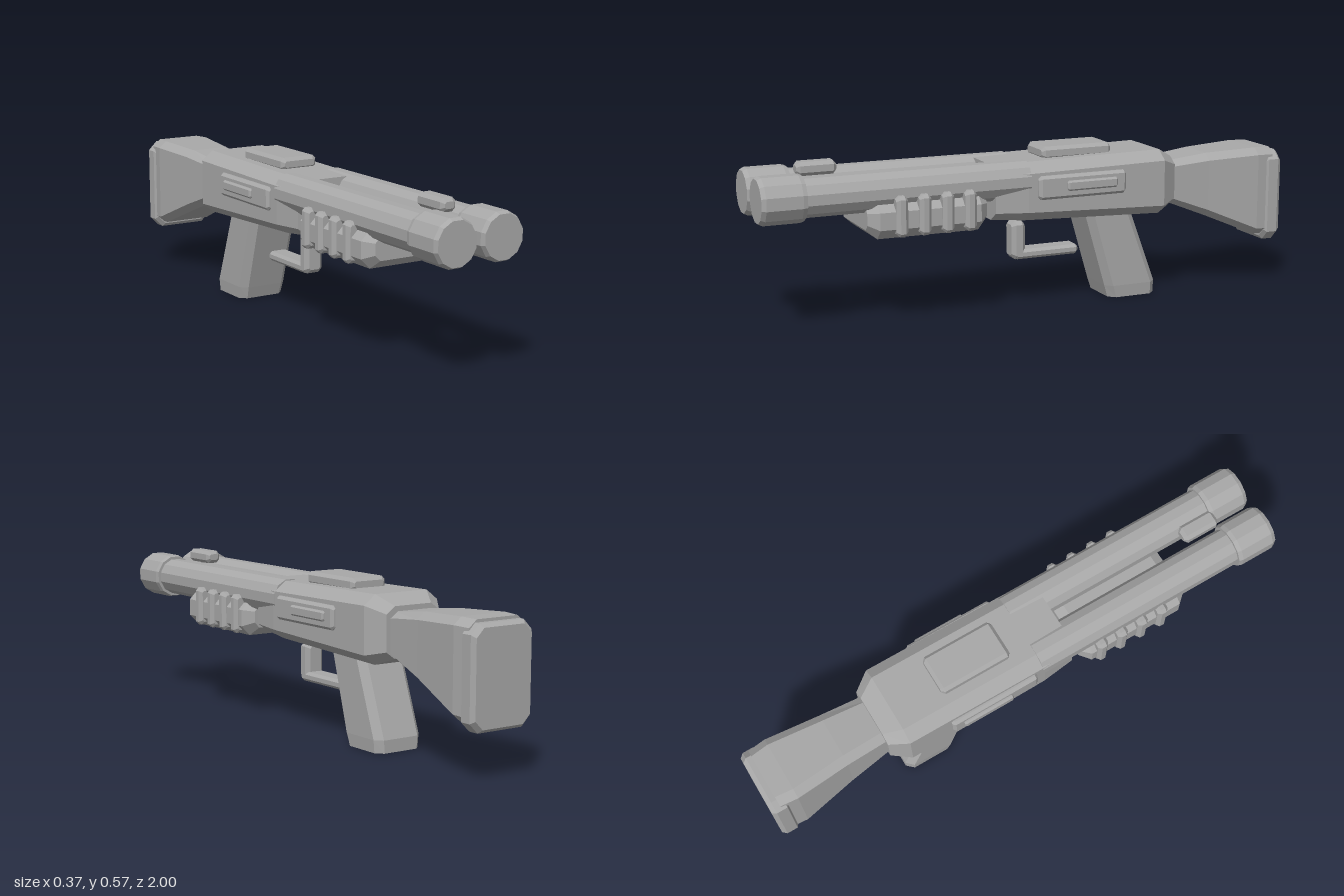
import * as THREE from 'three';

export function createModel() {
  const model = new THREE.Group();
  model.name = 'doubleBarrelGun';
  const grey = new THREE.MeshStandardMaterial({ color: 0xa8a8a8 });
  grey.name = 'grey';
  grey.flatShading = true;

  const add = (name, geometry) => {
    const mesh = new THREE.Mesh(geometry, grey);
    mesh.name = name;
    model.add(mesh);
    return mesh;
  };

  // Chamfered rectangles joined along z (or y when upright), capped at both ends.
  // Section: [station, halfWidth, low, high, chamferX, chamferLow, chamferHigh]
  function loft(sections, upright = false, cx = 0) {
    const rings = sections.map(([t, w, lo, hi, c, cl = c, ch = cl]) => [
      [-w + c, lo], [w - c, lo], [w, lo + cl], [w, hi - ch],
      [w - c, hi], [-w + c, hi], [-w, hi - ch], [-w, lo + cl],
    ].map(([x, v]) => (upright ? [cx + x, t, v] : [cx + x, v, t])));
    const pos = [];
    const tri = (a, b, c) => pos.push(...a, ...(upright ? c : b), ...(upright ? b : c));
    for (let s = 0; s + 1 < rings.length; s++) {
      const a = rings[s], b = rings[s + 1];
      for (let i = 0; i < 8; i++) {
        const j = (i + 1) % 8;
        tri(a[i], a[j], b[j]);
        tri(a[i], b[j], b[i]);
      }
    }
    const first = rings[0], last = rings[rings.length - 1];
    for (let i = 1; i < 7; i++) {
      tri(first[0], first[i + 1], first[i]);
      tri(last[0], last[i], last[i + 1]);
    }
    const g = new THREE.BufferGeometry();
    g.setAttribute('position', new THREE.Float32BufferAttribute(pos, 3));
    g.computeVertexNormals();
    return g;
  }

  // Box with every edge bevelled by b
  const bevelBox = (x0, x1, y0, y1, z0, z1, b) => {
    const w = (x1 - x0) / 2;
    return loft([
      [z0, w - b, y0 + b, y1 - b, b * 0.5], [z0 + b, w, y0, y1, b],
      [z1 - b, w, y0, y1, b], [z1, w - b, y0 + b, y1 - b, b * 0.5],
    ], false, (x0 + x1) / 2);
  };

  // Receiver
  add('receiver', loft([
    [-0.55, 0.11, 0.33, 0.505, 0.035, 0.025],
    [-0.485, 0.153, 0.305, 0.54, 0.045, 0.035],
    [0.05, 0.153, 0.325, 0.532, 0.045, 0.035],
    [0.17, 0.14, 0.335, 0.53, 0.045, 0.03],
  ]));

  // Barrels with wider muzzles, turned so that a flat faces up
  const k = 1 / Math.cos(Math.PI / 12);
  const profile = [
    [0, 0.04], [0.066, 0.04], [0.066, 0.845], [0.076, 0.845],
    [0.08, 0.86], [0.08, 0.985], [0.073, 1], [0, 1],
  ].map(([r, z]) => new THREE.Vector2(r * k, z));
  for (const side of [-1, 1]) {
    const g = new THREE.LatheGeometry(profile, 12);
    g.rotateY(Math.PI / 12).rotateX(Math.PI / 2);
    const barrel = add(side > 0 ? 'leftBarrel' : 'rightBarrel', g);
    barrel.position.set(side * 0.09, 0.47, 0);
  }

  // Sight and top plate
  add('frontSight', bevelBox(-0.03, 0.03, 0.528, 0.575, 0.7, 0.84, 0.012));
  add('topPlate', bevelBox(-0.073, 0.073, 0.525, 0.572, -0.31, 0.045 - 0.085, 0.012));

  // Fore grip
  add('foreGrip', loft([
    [0.2, 0.135, 0.345, 0.425, 0.02],
    [0.235, 0.17, 0.315, 0.445, 0.035],
    [0.6, 0.17, 0.315, 0.445, 0.035],
    [0.635, 0.138, 0.345, 0.425, 0.02],
  ]));

  // Side plates and grip ribs
  for (const side of [-1, 1]) {
    const tag = side > 0 ? 'left' : 'right';
    const sideBox = (name, x0, x1, ...rest) =>
      add(tag + name, bevelBox(Math.min(side * x0, side * x1), Math.max(side * x0, side * x1), ...rest));
    sideBox('SidePlate', 0.13, 0.169, 0.403, 0.487, -0.325, 0.015, 0.01);
    sideBox('SideInlay', 0.15, 0.18, 0.43, 0.466, -0.285, -0.09, 0.006);
    for (const z of [0.275, 0.357, 0.44, 0.523]) {
      sideBox('GripRib', 0.135, 0.184, 0.322, 0.463, z - 0.021, z + 0.021, 0.012);
    }
  }

  // Trigger guard
  add('guardPost', bevelBox(-0.037, 0.037, 0.165, 0.305, 0.008, 0.06, 0.014));
  add('guardBar', bevelBox(-0.037, 0.037, 0.165, 0.2, -0.2, 0.05, 0.01));

  // Pistol grip
  add('pistolGrip', loft([
    [0, 0.092, -0.49, -0.302, 0.024, 0.025],
    [0.045, 0.096, -0.49, -0.288, 0.025, 0.025],
    [0.32, 0.096, -0.388, -0.207, 0.025, 0.025],
  ], true));

  // Shoulder stock and butt plate
  add('stock', loft([
    [-0.965, 0.113, 0.18, 0.512, 0.03, 0.025],
    [-0.9, 0.12, 0.185, 0.514, 0.03, 0.025],
    [-0.7, 0.102, 0.27, 0.505, 0.03, 0.025],
    [-0.53, 0.092, 0.338, 0.485, 0.03, 0.02],
  ]));
  add('buttPlate', loft([
    [-1, 0.112, 0.172, 0.49, 0.03],
    [-0.985, 0.123, 0.16, 0.502, 0.033],
    [-0.945, 0.123, 0.16, 0.502, 0.033],
    [-0.935, 0.112, 0.172, 0.49, 0.03],
  ]));

  return model;
}
